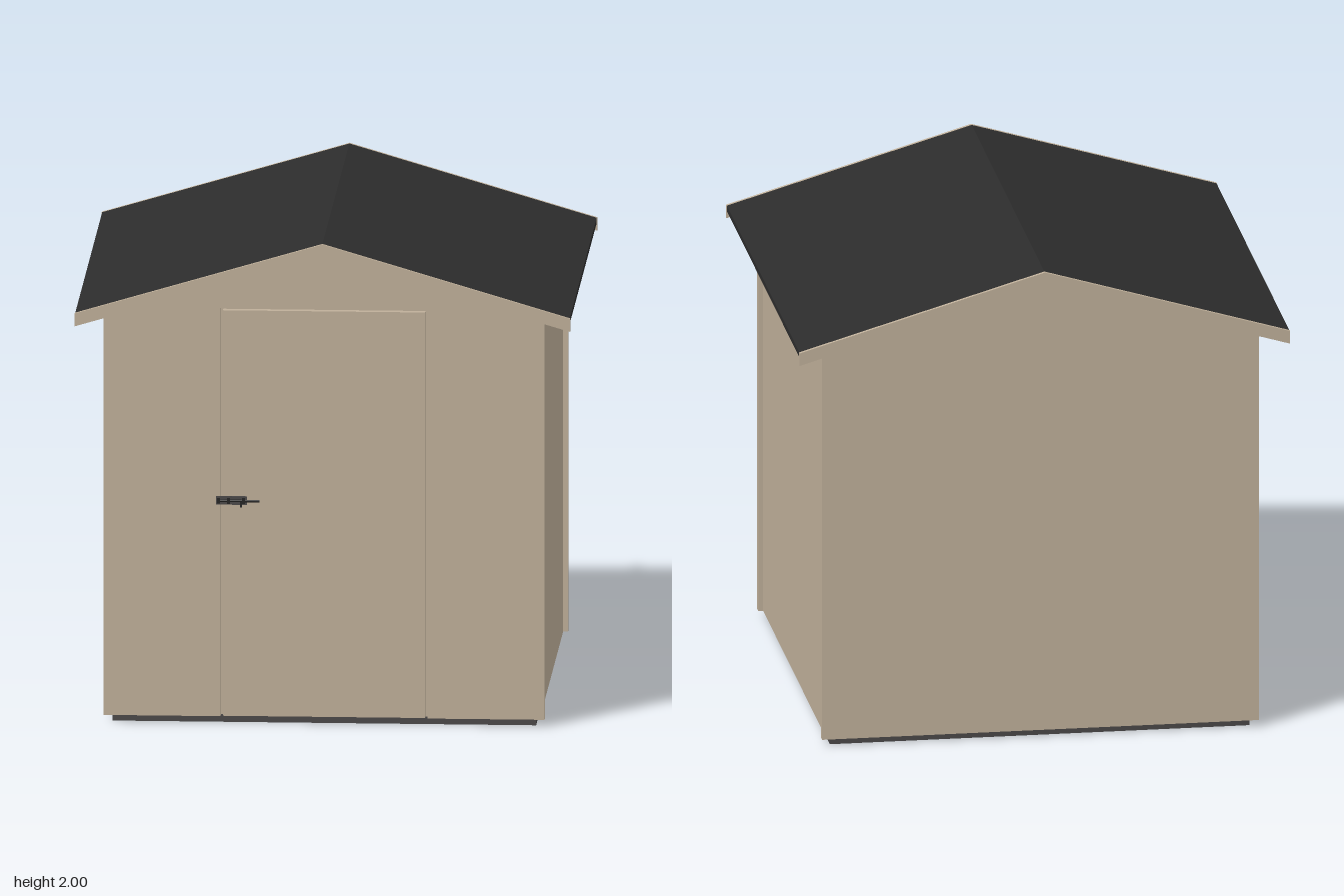
import * as THREE from 'three';

const SLOPE = 0.295;
const material = (name, color) => {
  const m = new THREE.MeshStandardMaterial({ color });
  m.name = name;
  return m;
};

// Extrudes an outline of [x, y] points from z0 to z0 + depth
function extrude(points, z0, depth) {
  const shape = new THREE.Shape(points.map(([x, y]) => new THREE.Vector2(x, y)));
  const geometry = new THREE.ExtrudeGeometry(shape, { depth, bevelEnabled: false });
  return geometry.translate(0, 0, z0);
}

// Box given by its minimum and maximum corners
function box(x0, x1, y0, y1, z0, z1) {
  const geometry = new THREE.BoxGeometry(x1 - x0, y1 - y0, z1 - z0);
  return geometry.translate((x0 + x1) / 2, (y0 + y1) / 2, (z0 + z1) / 2);
}

// Chevron that follows the roof pitch
function chevron(halfWidth, peak, thickness) {
  const drop = SLOPE * halfWidth;
  return [
    [-halfWidth, peak - drop - thickness], [0, peak - thickness],
    [halfWidth, peak - drop - thickness], [halfWidth, peak - drop],
    [0, peak], [-halfWidth, peak - drop],
  ];
}

export function createModel() {
  const group = new THREE.Group();
  group.name = 'gardenShed';
  const wood = material('tan wood', 0xbfaf99);
  const felt = material('black roofing felt', 0x2c2c2c);
  const grey = material('dark grey', 0x4a4848);
  const iron = material('black iron', 0x222222);

  const add = (name, geometry, mat, parent = group) => {
    const mesh = new THREE.Mesh(geometry, mat);
    mesh.name = name;
    parent.add(mesh);
    return mesh;
  };

  // Floor base
  add('base', box(-0.855, 0.855, 0, 0.03, -0.855, 0.855), grey);

  // Gable walls, the front one with a door opening
  const bottom = 0.028, peak = 1.978, eave = peak - SLOPE * 0.89;
  const top = [[0.89, bottom], [0.89, eave], [0, peak], [-0.89, eave], [-0.89, bottom]];
  const opening = [[-0.418, bottom], [-0.418, 1.71], [0.418, 1.71], [0.418, bottom]];
  add('frontWall', extrude([...top, ...opening], 0.85, 0.03), wood);
  add('backWall', extrude(top, -0.88, 0.03), wood);

  // Side walls, set in slightly from the gable ends
  for (const [name, s] of [['leftWall', 1], ['rightWall', -1]]) {
    const wall = add(name, box(-0.015, 0.015, bottom, peak - SLOPE * 0.87, -0.85, 0.85), wood);
    wall.position.x = s * 0.855;
  }

  // Door and the stop behind its gap
  add('door', box(-0.408, 0.408, 0.03, 1.7, 0.85, 0.88), wood);
  add('doorStop', box(-0.45, 0.45, 0.03, 1.74, 0.84, 0.85), wood);

  // Sliding bolt
  const bolt = new THREE.Group();
  bolt.name = 'doorBolt';
  group.add(bolt);
  add('boltPlate', box(-0.435, -0.31, 0.9, 0.935, 0.88, 0.883), grey, bolt);
  const rod = new THREE.CylinderGeometry(0.005, 0.005, 0.17, 10).rotateZ(Math.PI / 2);
  add('boltRod', rod.translate(-0.345, 0.917, 0.888), iron, bolt);
  add('boltKnob', box(-0.338, -0.331, 0.89, 0.917, 0.884, 0.892), iron, bolt);
  for (const x of [-0.425, -0.385, -0.325]) {
    add('boltGuide', box(x - 0.006, x + 0.006, 0.906, 0.928, 0.883, 0.894), iron, bolt);
  }

  // Roof and gable trim boards
  add('roof', extrude(chevron(0.998, 2, 0.022), -0.985, 1.97), felt);
  add('frontTrim', extrude(chevron(1, 2, 0.053), 0.985, 0.015), wood);
  add('backTrim', extrude(chevron(1, 2, 0.053), -1, 0.015), wood);

  return group;
}
